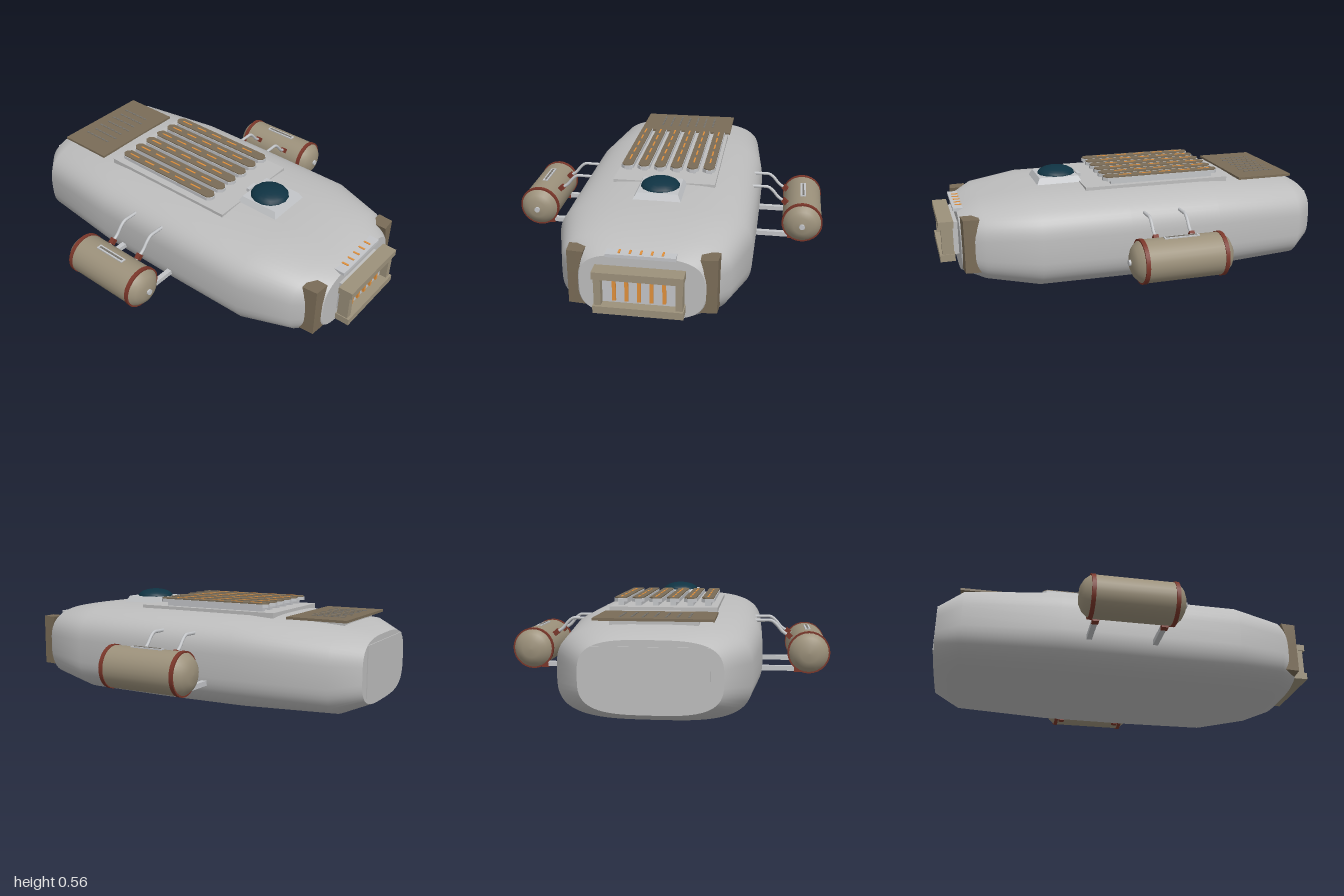
import * as THREE from 'three';

const mat = (name, color, side = THREE.FrontSide) => {
  const m = new THREE.MeshStandardMaterial({ color, side });
  m.name = name;
  return m;
};

export function createModel() {
  const hullGrey = mat('hull grey', 0xbdbdbd);
  const metal = mat('light metal', 0xc3c5c8);
  const tan = mat('tan', 0x9c917b);
  const brown = mat('brown', 0x7a6c57);
  const red = mat('dark red', 0x7a3629);
  const orange = mat('orange', 0xe0903c);
  const teal = mat('dark teal', 0x0f3343);
  const slot = mat('slot grey', 0x77736c);

  const root = new THREE.Group();
  const add = (name, geo, material, x = 0, y = 0, z = 0, parent = root) => {
    const m = new THREE.Mesh(geo, material);
    m.name = name;
    m.position.set(x, y, z);
    parent.add(m);
    return m;
  };
  // box given by its limits on each axis
  const box = (name, material, x0, x1, y0, y1, z0, z1, parent = root) =>
    add(name, new THREE.BoxGeometry(x1 - x0, y1 - y0, z1 - z0), material,
      (x0 + x1) / 2, (y0 + y1) / 2, (z0 + z1) / 2, parent);
  // flat plate with chamfered corners, lying between y0 and y1
  const plate = (name, material, x0, x1, y0, y1, halfZ, c, z = 0, parent = root) => {
    const s = new THREE.Shape([[x0 + c, -halfZ], [x1 - c, -halfZ], [x1, c - halfZ], [x1, halfZ - c],
      [x1 - c, halfZ], [x0 + c, halfZ], [x0, halfZ - c], [x0, c - halfZ]].map(p => new THREE.Vector2(...p)));
    const g = new THREE.ExtrudeGeometry(s, { depth: y1 - y0, bevelEnabled: false }).rotateX(-Math.PI / 2);
    return add(name, g, material, 0, y0, z, parent);
  };

  // hull: rounded sections lofted along x  [x, bottom, top, half width]
  const stations = [[-0.995, 0.07, 0.40, 0.32], [-0.87, 0.02, 0.45, 0.44], [-0.39, 0.004, 0.485, 0.485],
    [0.08, 0, 0.487, 0.484], [0.53, 0.004, 0.485, 0.48], [0.79, 0.05, 0.45, 0.4], [0.902, 0.085, 0.4, 0.29]];
  const N = 64;
  const section = ([x, y0, y1, hz], j) => {
    const a = (j / N) * Math.PI * 2, e = 2 / 3.3;
    const c = Math.cos(a), s = Math.sin(a);
    return [x, (y0 + y1) / 2 + (y1 - y0) / 2 * Math.sign(s) * Math.abs(s) ** e, hz * Math.sign(c) * Math.abs(c) ** e];
  };
  const pos = [], idx = [];
  stations.forEach((st, i) => {
    for (let j = 0; j < N; j++) {
      pos.push(...section(st, j));
      if (i < stations.length - 1) {
        const a = i * N + j, b = i * N + (j + 1) % N;
        idx.push(a, a + N, b, b, a + N, b + N);
      }
    }
  });
  // end caps on their own vertices so the rims stay sharp
  for (const [st, front] of [[stations[0], false], [stations[stations.length - 1], true]]) {
    const c = pos.length / 3;
    pos.push(st[0], (st[1] + st[2]) / 2, 0);
    for (let j = 0; j < N; j++) {
      pos.push(...section(st, j));
      const a = c + 1 + j, b = c + 1 + (j + 1) % N;
      idx.push(c, ...(front ? [b, a] : [a, b]));
    }
  }
  const hull = new THREE.BufferGeometry();
  hull.setAttribute('position', new THREE.Float32BufferAttribute(pos, 3));
  hull.setIndex(idx);
  hull.computeVertexNormals();
  add('hull', hull, hullGrey);
  box('rearDoor', hullGrey, -1, -0.99, 0.12, 0.37, -0.26, 0.26);

  // roof deck with six raised slats
  box('roofDeck', hullGrey, -0.515, 0.26, 0.465, 0.492, -0.265, 0.265);
  for (let i = 0; i < 6; i++) {
    const z = (i - 2.5) * 0.0865 - 0.003;
    const slat = new THREE.Group();
    slat.name = 'roofSlat';
    root.add(slat);
    box('slatStem', metal, -0.44, 0.12, 0.49, 0.516, z - 0.014, z + 0.014, slat);
    plate('slatBody', metal, -0.47, 0.16, 0.512, 0.529, 0.032, 0.02, z, slat);
    plate('slatTop', brown, -0.467, 0.157, 0.529, 0.535, 0.029, 0.019, z, slat);
    for (let k = 0; k < 5; k++) {
      const x = -0.43 + k * 0.109;
      box('slatLight', orange, x, x + 0.065, 0.533, 0.537, z - 0.004, z + 0.004, slat);
    }
  }

  // rear roof panel with rows of vent slots
  box('ventPanel', brown, -0.895, -0.588, 0.468, 0.48, -0.272, 0.272);
  box('ventPanelBase', hullGrey, -0.86, -0.6, 0.42, 0.47, -0.2, 0.2);
  for (let r = 0; r < 7; r++) for (let k = 0; k < 6; k++) {
    const x = -0.845 + k * 0.03 + (r % 2) * 0.012, z = (r - 3) * 0.052;
    box('ventSlot', slot, x, x + 0.022, 0.478, 0.483, z - 0.005, z + 0.005);
  }

  // roof dome on its tapered mount
  const mount = new THREE.CylinderGeometry(0.145, 0.175, 0.04, 4, 1).rotateY(Math.PI / 4);
  const flatMount = mount.toNonIndexed();
  flatMount.computeVertexNormals();
  add('domeMount', flatMount, metal, 0.363, 0.496, 0);
  const dome = new THREE.SphereGeometry(0.1, 14, 6, 0, Math.PI * 2, 0, Math.PI / 2).scale(1, 0.42, 1);
  add('dome', dome, teal, 0.358, 0.513, 0);
  box('domeLatch', metal, 0.23, 0.25, 0.485, 0.51, -0.03, 0.03);

  // nose grille: frame, recessed back and glowing bars
  const grille = new THREE.Group();
  grille.name = 'noseGrille';
  root.add(grille);
  box('grilleNeck', hullGrey, 0.89, 0.94, 0.17, 0.34, -0.16, 0.16, grille);
  box('grilleBack', metal, 0.93, 0.95, 0.17, 0.34, -0.18, 0.18, grille);
  for (const y of [0.15, 0.322]) box('grilleRail', tan, 0.925, 1, y, y + 0.036, -0.206, 0.206, grille);
  for (const s of [-1, 1]) {
    const z = s * 0.185;
    box('grilleSide', tan, 0.93, 0.988, 0.18, 0.325, z - 0.016, z + 0.016, grille);
  }
  for (let i = -2; i <= 2; i++) {
    box('grilleBar', orange, 0.95, 0.962, 0.2, 0.305, i * 0.057 - 0.008, i * 0.057 + 0.008, grille);
  }

  // ribbed plate above the grille
  box('browPlate', metal, 0.86, 0.92, 0.395, 0.411, -0.16, 0.16);
  for (let i = -2; i <= 2; i++) {
    box('browLight', orange, 0.87, 0.905, 0.409, 0.414, i * 0.05 - 0.005, i * 0.05 + 0.005);
  }

  // waisted corner guards, narrowing towards their outer corner
  for (const s of [-1, 1]) {
    const g = new THREE.BoxGeometry(0.085, 0.27, 0.085, 1, 6, 1);
    const p = g.attributes.position;
    for (let i = 0; i < p.count; i++) {
      const t = Math.min(1, Math.abs(p.getY(i)) / 0.135);
      const w = 0.085 * (0.72 + 0.28 * t * t);
      if (p.getX(i) < 0) p.setX(i, 0.0425 - w);
      if (p.getZ(i) * s < 0) p.setZ(i, s * (0.0425 - w));
      // ease the outer corner back
      if (p.getX(i) > 0 && p.getZ(i) * s > 0) {
        p.setX(i, 0.036);
        p.setZ(i, s * 0.036);
      }
    }
    g.computeVertexNormals();
    add('cornerGuard', g, brown, 0.855, 0.265, s * 0.309);
  }

  // side pods with bands, nozzle, handle and struts
  const podProfile = [[0, -0.337], [0.045, -0.335], [0.078, -0.317], [0.1, -0.29], [0.104, -0.28], [0.104, 0.115],
    [0.098, 0.128], [0.075, 0.152], [0.045, 0.166], [0, 0.17]].map(p => new THREE.Vector2(...p));
  for (const s of [-1, 1]) {
    const pod = new THREE.Group();
    pod.name = s > 0 ? 'leftPod' : 'rightPod';
    root.add(pod);
    const py = 0.244, pz = s * 0.72;
    add('podBody', new THREE.LatheGeometry(podProfile, 28).rotateZ(-Math.PI / 2), tan, 0, py, pz, pod);
    for (const x of [-0.28, 0.115]) {
      add('podBand', new THREE.CylinderGeometry(0.108, 0.108, 0.02, 28).rotateZ(Math.PI / 2), red, x, py, pz, pod);
    }
    add('podNozzle', new THREE.CylinderGeometry(0.015, 0.015, 0.02, 10).rotateZ(Math.PI / 2), metal, 0.169, py, pz, pod);
    box('podHandleBase', metal, -0.17, 0.005, 0.342, 0.352, pz - 0.014, pz + 0.014, pod);
    box('podHandleSlot', slot, -0.16, -0.005, 0.35, 0.354, pz - 0.005, pz + 0.005, pod);
    for (const x of [-0.25, 0.082]) {
      const lower = box('lowerStrut', metal, x - 0.013, x + 0.013, 0.143, 0.168, 0.44, 0.68, pod);
      lower.position.z *= s;
      box('lowerSocket', red, x - 0.016, x + 0.016, 0.138, 0.162, s * 0.665 - 0.018, s * 0.665 + 0.018, pod);
    }
    for (const x of [-0.176, 0.01]) {
      const path = new THREE.CatmullRomCurve3([[0.43, 0.393], [0.49, 0.394], [0.53, 0.393], [0.555, 0.375],
        [0.59, 0.335], [0.64, 0.305]].map(([z, y]) => new THREE.Vector3(x, y, s * z)));
      add('upperStrut', new THREE.TubeGeometry(path, 20, 0.0085, 8), metal, 0, 0, 0, pod);
      const socket = add('upperSocket', new THREE.BoxGeometry(0.026, 0.026, 0.03), red, x, 0.315, s * 0.622, pod);
      socket.rotation.x = s * 0.7;
    }
  }
  return root;
}
